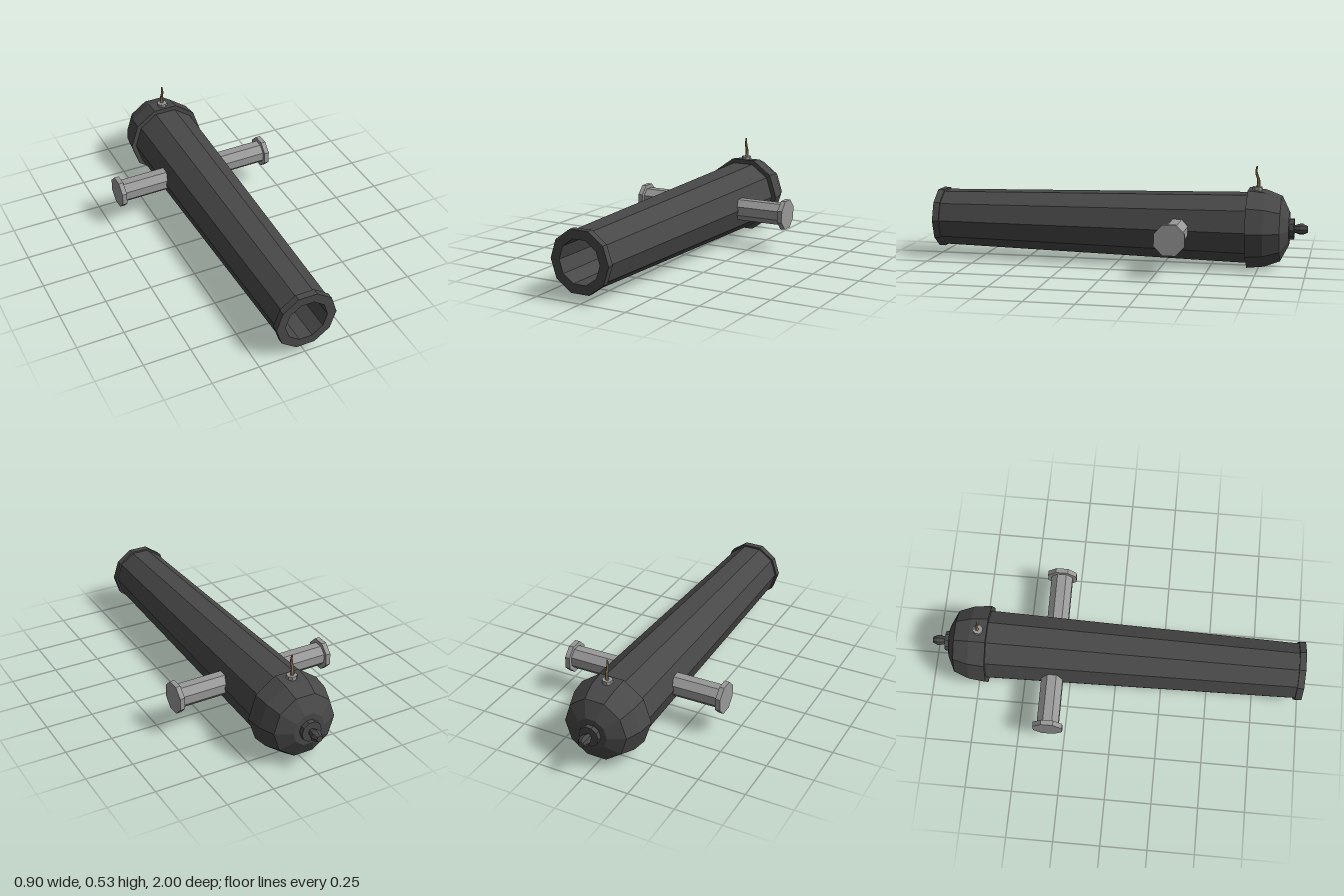
import * as THREE from 'three';

const AXIS_Y = 0.207;

function makeMaterial(name, color) {
  const m = new THREE.MeshStandardMaterial({ color });
  m.name = name;
  m.flatShading = true;
  return m;
}

// Faceted turned part: profile is [radius, position along the axis], from low to high
function turned(profile, sides, phase) {
  const pts = profile.map(([r, a]) => new THREE.Vector2(r, a));
  return new THREE.LatheGeometry(pts, sides, phase);
}

function add(parent, name, geometry, material) {
  const mesh = new THREE.Mesh(geometry, material);
  mesh.name = name;
  parent.add(mesh);
  return mesh;
}

export function createModel() {
  const iron = makeMaterial('dark iron', 0x484848);
  const steel = makeMaterial('light steel', 0x999999);
  const rope = makeMaterial('fuse rope', 0x9a8060);

  const model = new THREE.Group();
  model.name = 'cannonBarrel';

  // Parts turned around the bore axis
  const alongZ = (name, profile, sides) => {
    const geo = turned(profile, sides, Math.PI / 2).rotateX(Math.PI / 2);
    add(model, name, geo, iron).position.y = AXIS_Y;
  };

  // Tapered tube, muzzle lip and hollow bore
  alongZ('barrel', [
    [0.188, -0.7], [0.153, 0.965], [0.163, 0.965], [0.163, 1],
    [0.114, 1], [0.114, 0.4], [0, 0.4],
  ], 10);

  // Rounded breech with a flat step where it meets the tube
  alongZ('breech', [
    [0, -0.905], [0.088, -0.905], [0.172, -0.863], [0.204, -0.78],
    [0.214, -0.69], [0.18, -0.69],
  ], 10);

  // Collar and knob at the rear
  alongZ('rearCollar', [[0, -0.93], [0.055, -0.93], [0.055, -0.9], [0, -0.9]], 10);
  alongZ('rearKnob', [
    [0, -1], [0.017, -1], [0.029, -0.975], [0.029, -0.96], [0.019, -0.93],
  ], 8);

  // Side trunnions with wider end caps
  const trunnions = new THREE.Group();
  trunnions.name = 'trunnions';
  trunnions.position.set(0, AXIS_Y, -0.336);
  trunnions.rotation.y = 0.015;
  for (const side of [1, -1]) {
    const geo = turned([
      [0, 0.1], [0.0622, 0.1], [0.0622, 0.421], [0.084, 0.421],
      [0.084, 0.447], [0, 0.447],
    ], 8, Math.PI / 8).rotateZ(-side * Math.PI / 2);
    add(trunnions, side > 0 ? 'leftTrunnion' : 'rightTrunnion', geo, steel);
  }
  model.add(trunnions);

  // Fuse seat on top of the breech
  const seat = turned([[0.027, 0.395], [0.027, 0.423], [0, 0.423]], 8, Math.PI / 8);
  add(model, 'fuseSeat', seat, steel).position.z = -0.735;

  // Wavy tapering fuse: each cross-section is [y, z, radius]
  const rings = [
    [0.415, -0.737, 0.010], [0.442, -0.741, 0.009], [0.465, -0.739, 0.008],
    [0.485, -0.731, 0.007], [0.505, -0.727, 0.006], [0.53, -0.731, 0.004],
  ];
  const fuse = new THREE.CylinderGeometry(1, 1, 1, 6, rings.length - 1);
  const p = fuse.attributes.position;
  for (let i = 0; i < p.count; i++) {
    const k = Math.round((p.getY(i) + 0.5) * (rings.length - 1));
    const [y, z, r] = rings[k];
    p.setXYZ(i, p.getX(i) * r, y, p.getZ(i) * r + z);
  }
  fuse.computeVertexNormals();
  add(model, 'fuse', fuse, rope);

  return model;
}
